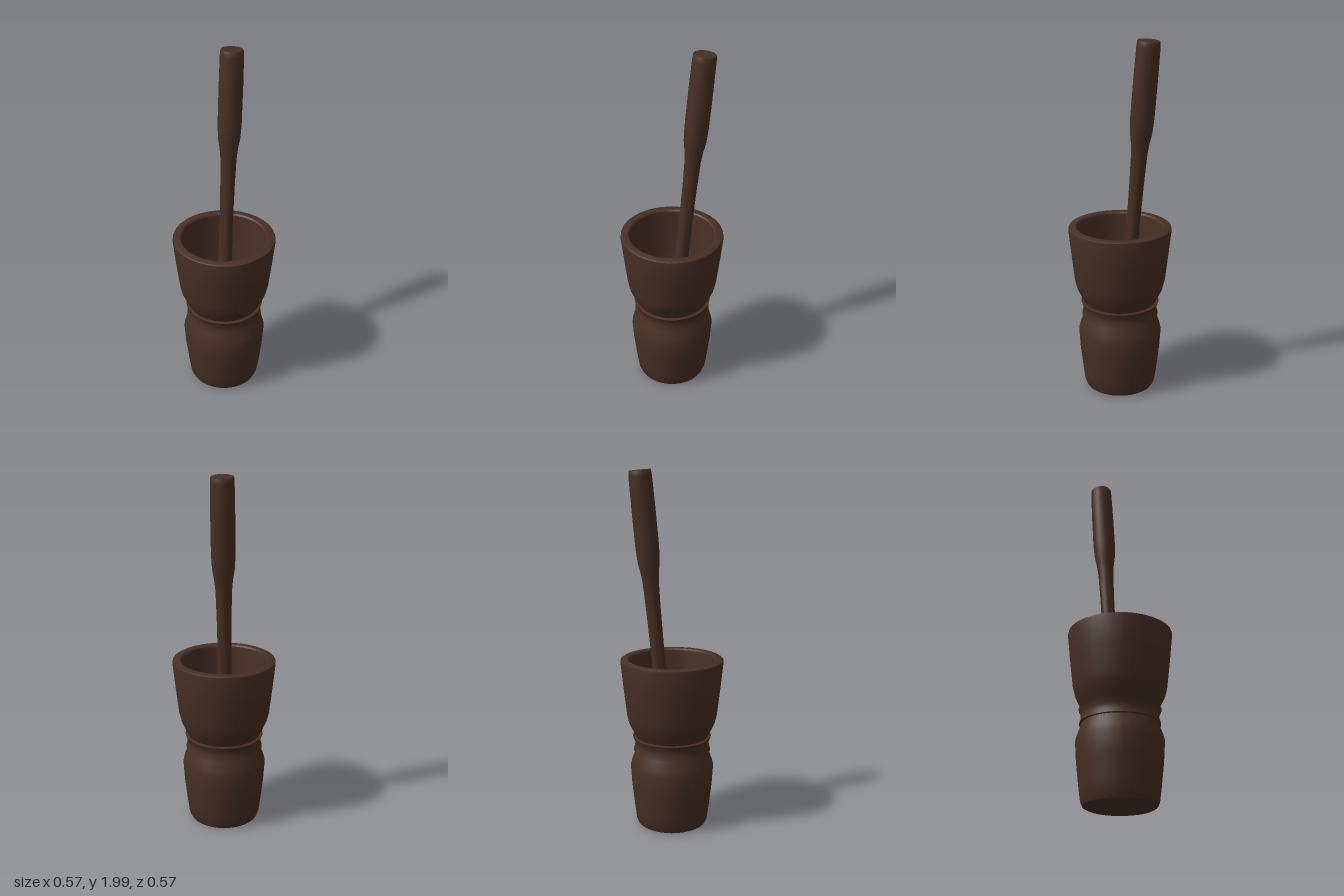
import * as THREE from 'three';
import { toCreasedNormals } from 'three/addons/utils/BufferGeometryUtils.js';

const darkWood = new THREE.MeshStandardMaterial({ color: 0x472f24 });
darkWood.name = 'dark wood';

// Turns a list of [radius, height] pairs into a lathed wooden part
function turned(name, profile, sides) {
  const points = profile.map(([r, y]) => new THREE.Vector2(r, y));
  const geometry = toCreasedNormals(new THREE.LatheGeometry(points, sides), 0.6);
  const mesh = new THREE.Mesh(geometry, darkWood);
  mesh.name = name;
  return mesh;
}

export function createModel() {
  const group = new THREE.Group();
  group.name = 'mortarAndPestle';

  // Mortar: foot, belly, waist band, cup, rim, then down the hollow
  group.add(turned('mortar', [
    [0, 0.005], [0.18, 0.005], [0.193, 0.012], [0.203, 0.035], [0.212, 0.1],
    [0.228, 0.24], [0.235, 0.35], [0.226, 0.385], [0.204, 0.443],
    [0.217, 0.445], [0.209, 0.47], [0.208, 0.495], [0.221, 0.525],
    [0.204, 0.528], [0.225, 0.57], [0.243, 0.61], [0.254, 0.655],
    [0.272, 0.81], [0.287, 0.955], [0.285, 0.966], [0.277, 0.971],
    [0.245, 0.971], [0.237, 0.963], [0.234, 0.94], [0.226, 0.7],
    [0.213, 0.61], [0.182, 0.52], [0.172, 0.44], [0.151, 0.4], [0, 0.39],
  ], 32));

  // Pestle: thick grip, slim neck, flared pounding end; heights from its top
  const pestle = turned('pestle', [
    [0, -1.63], [0.05, -1.63], [0.047, -1.5], [0.04, -1.25], [0.037, -1.0],
    [0.04, -0.75], [0.044, -0.6], [0.05, -0.54], [0.06, -0.48],
    [0.064, -0.4], [0.064, -0.2], [0.062, -0.03], [0.06, -0.004], [0.058, 0], [0, 0],
  ], 24);
  pestle.position.set(-0.014, 1.994, -0.175);
  pestle.rotation.x = -Math.atan(0.094);
  group.add(pestle);

  return group;
}
